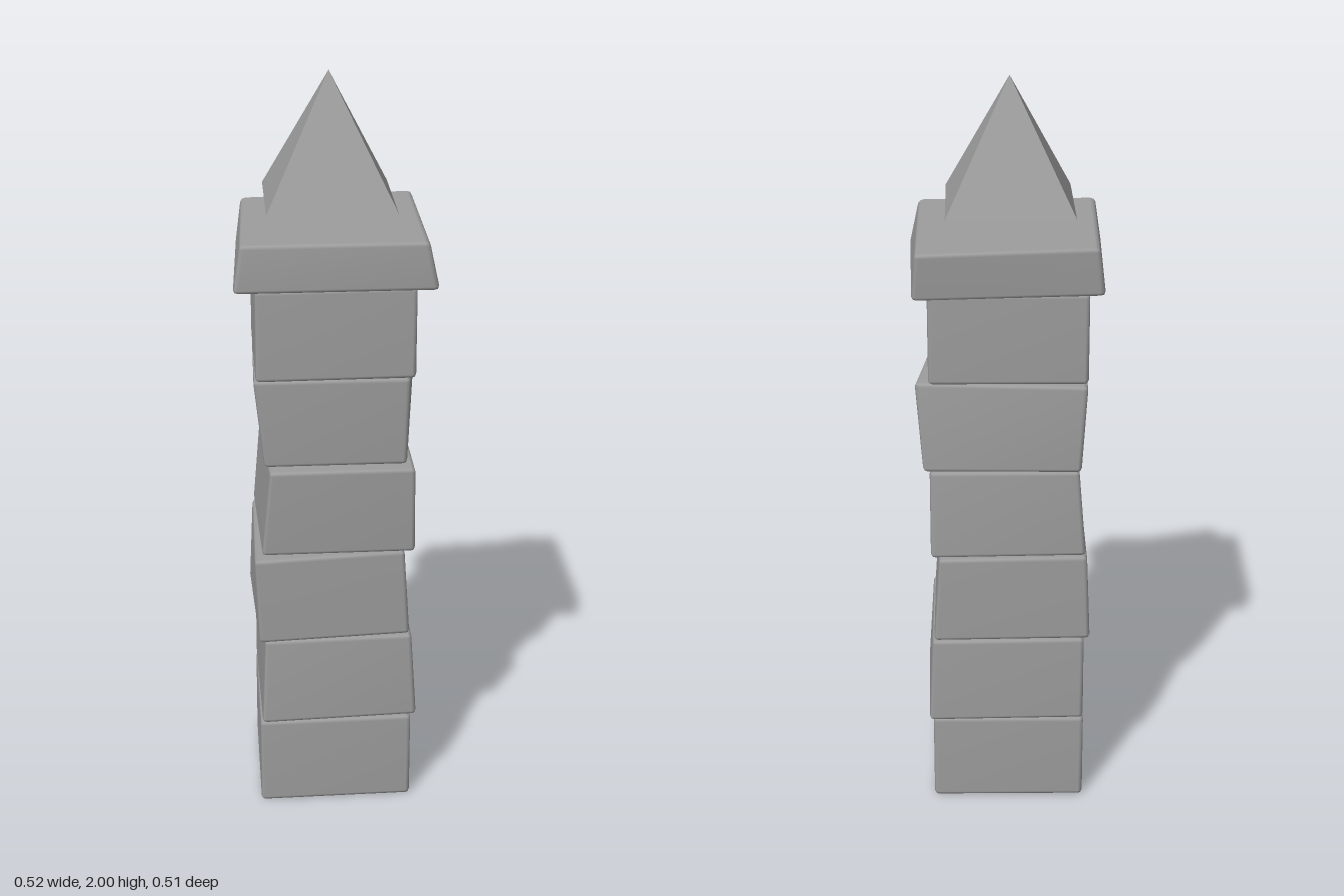
import * as THREE from 'three';
import { RoundedBoxGeometry } from 'three/addons/geometries/RoundedBoxGeometry.js';
import { mergeVertices } from 'three/addons/utils/BufferGeometryUtils.js';

const BEVEL = 0.011;
const GREY = 0x9d9d9d;

// Softly bevelled block bent to eight corners.
// Corner order for bottom and top: back left, back right, front left, front right (as [x, z] seen from the front).
function blockGeometry(y0, y1, bottom, top, open) {
  const w = 0.41, h = y1 - y0, d = 0.41;
  const box = new RoundedBoxGeometry(w, h, d, 1, BEVEL);
  const src = (box.index ? box.toNonIndexed() : box).attributes.position;
  const out = [];
  const bilerp = (c, k, u, v) =>
    (c[0][k] * (1 - u) + c[1][k] * u) * (1 - v) + (c[2][k] * (1 - u) + c[3][k] * u) * v;
  for (let i = 0; i < src.count; i += 3) {
    const low = [0, 1, 2].every(j => src.getY(i + j) < -h / 2 + BEVEL * 0.2);
    if (open && low) continue; // leave the underside open
    for (let j = i; j < i + 3; j++) {
      const u = src.getX(j) / w + 0.5, t = src.getY(j) / h + 0.5, v = src.getZ(j) / d + 0.5;
      const at = k => THREE.MathUtils.lerp(bilerp(bottom, k, u, v), bilerp(top, k, u, v), t);
      out.push(at(0), y0 + t * h, at(1));
    }
  }
  const geo = new THREE.BufferGeometry();
  geo.setAttribute('position', new THREE.Float32BufferAttribute(out, 3));
  const smooth = mergeVertices(geo, 1e-5);
  smooth.computeVertexNormals();
  return smooth;
}

export function createModel() {
  const group = new THREE.Group();
  const stone = new THREE.MeshStandardMaterial({ color: GREY, side: THREE.DoubleSide });
  const flat = new THREE.MeshStandardMaterial({ color: GREY, flatShading: true });
  const add = (name, geo, mat) => {
    const mesh = new THREE.Mesh(geo, mat);
    mesh.name = name;
    group.add(mesh);
    return mesh;
  };

  // Stacked shaft stones, from the ground up
  const even = [[-0.206, -0.195], [0.208, -0.19], [-0.206, 0.225], [0.208, 0.215]];
  const stones = [
    [0, 0.249, even, even],
    [0.249, 0.495,
      [[-0.205, -0.195], [0.218, -0.2], [-0.2, 0.232], [0.224, 0.208]],
      [[-0.205, -0.19], [0.208, -0.195], [-0.19, 0.22], [0.208, 0.205]]],
    [0.496, 0.742,
      [[-0.221, -0.19], [0.203, -0.195], [-0.205, 0.232], [0.203, 0.2]],
      [[-0.21, -0.185], [0.187, -0.195], [-0.216, 0.235], [0.187, 0.195]]],
    [0.745, 0.99,
      [[-0.207, -0.185], [0.208, -0.192], [-0.195, 0.21], [0.214, 0.205]],
      [[-0.187, -0.182], [0.208, -0.178], [-0.172, 0.222], [0.21, 0.218]]],
    [0.994, 1.238,
      [[-0.191, -0.198], [0.225, -0.185], [-0.185, 0.198], [0.189, 0.195]],
      [[-0.205, -0.202], [0.245, -0.165], [-0.212, 0.205], [0.194, 0.205]]],
    [1.241, 1.486, even, even],
  ];
  stones.forEach(([y0, y1, bottom, top], i) =>
    add(`shaftStone${i + 1}`, blockGeometry(y0, y1, bottom, top, i === 0), stone));

  // Wider cap slab
  add('capSlab', blockGeometry(1.487, 1.614,
    [[-0.244, -0.215], [0.246, -0.245], [-0.261, 0.254], [0.261, 0.25]],
    [[-0.228, -0.215], [0.236, -0.259], [-0.242, 0.252], [0.233, 0.248]]), stone);

  // Pyramid floating above the cap
  const pyramid = new THREE.ConeGeometry(0.166 * Math.SQRT2, 0.33, 4);
  pyramid.rotateY(Math.PI / 4);
  add('pyramidTip', pyramid, flat).position.set(-0.006, 1.835, 0.015);

  return group;
}
